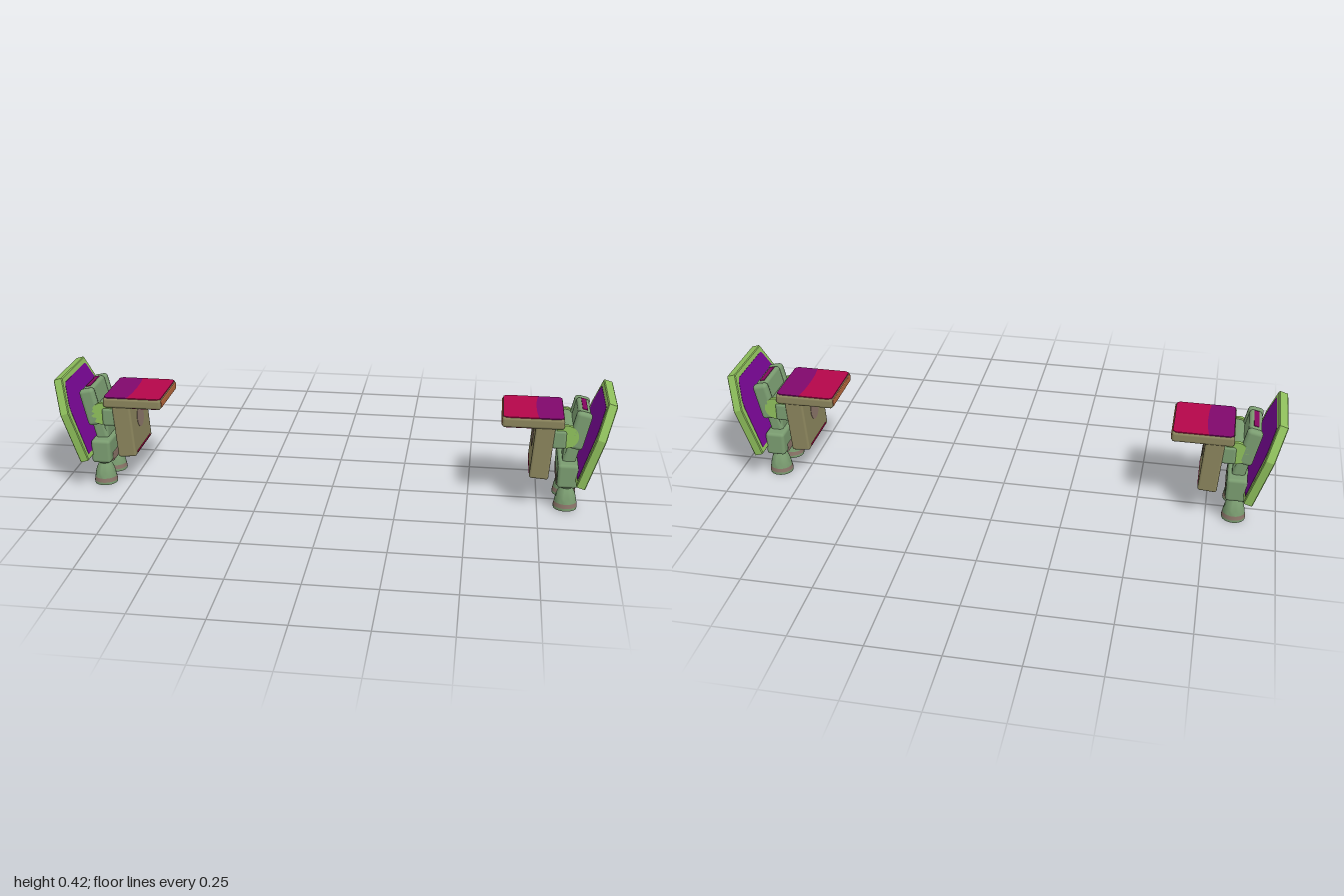
import * as THREE from 'three';
import { RoundedBoxGeometry } from 'three/addons/geometries/RoundedBoxGeometry.js';
import { toCreasedNormals } from 'three/addons/utils/BufferGeometryUtils.js';

function material(name, color, side = THREE.FrontSide) {
  const m = new THREE.MeshStandardMaterial({ color, side });
  m.name = name;
  return m;
}

export function createModel() {
  const green = material('leaf green', 0x8fc05c);
  const sage = material('sage', 0x7a9c70);
  const olive = material('olive tan', 0x8a845c);
  const mauve = material('mauve', 0x8a7468);
  const plum = material('plum', 0x84065f);
  const violet = material('violet', 0x780694, THREE.DoubleSide);
  const crimson = material('crimson', 0xb4064a);
  const grape = material('grape', 0x80086c);
  const orange = material('burnt orange', 0xb8683c);

  function add(parent, name, geometry, mat, x = 0, y = 0, z = 0) {
    const mesh = new THREE.Mesh(geometry, mat);
    mesh.name = name;
    mesh.position.set(x, y, z);
    parent.add(mesh);
    return mesh;
  }
  const box = (w, h, d, r = 0.01) => new RoundedBoxGeometry(w, h, d, 2, r);
  const lathe = (points) => toCreasedNormals(
    new THREE.LatheGeometry(points.map(([r, y]) => new THREE.Vector2(r, y)), 24), 0.6);
  const prism = (points, depth, bevel = 0) => new THREE.ExtrudeGeometry(
    new THREE.Shape(points.map(([x, y]) => new THREE.Vector2(x, y))),
    { depth: depth - 2 * bevel, bevelEnabled: bevel > 0, bevelSize: bevel,
      bevelThickness: bevel, bevelOffset: -bevel, bevelSegments: 1 }).translate(0, 0, bevel);
  // Mirrors a half outline, listed from bottom to top
  const mirrored = (half) => [...half, ...half.map(([x, y]) => [-x, y]).reverse()];

  function buildUnit(name) {
    const unit = new THREE.Group();
    unit.name = name;

    // Pair of bell nozzles with dark throats
    for (const z of [-0.0625, 0.0625]) {
      add(unit, 'nozzle', lathe([[0.037, 0], [0.042, 0], [0.043, 0.006], [0.041, 0.016],
        [0.039, 0.03], [0.036, 0.045], [0.031, 0.062], [0.025, 0.074], [0.022, 0.08],
        [0.025, 0.084], [0.025, 0.1]]), sage, 0.85, 0, z);
      add(unit, 'nozzleBand', lathe([[0.0428, 0.01], [0.0415, 0.016], [0.0402, 0.025]]), mauve,
        0.85, 0, z);
      add(unit, 'nozzleThroat', lathe([[0.039, -0.0005], [0.033, 0.03], [0.018, 0.055], [0, 0.06]]),
        violet, 0.85, 0, z);
    }

    // Base housing above the nozzles
    add(unit, 'baseHousing', box(0.072, 0.09, 0.216, 0.012), sage, 0.85, 0.135, 0);
    add(unit, 'baseInset', box(0.076, 0.034, 0.15, 0.004), mauve, 0.85, 0.105, 0);
    add(unit, 'baseTrim', new THREE.BoxGeometry(0.005, 0.007, 0.15), plum, 0.887, 0.089, 0);

    // Leaning spine with side rails
    const spine = new THREE.Group();
    spine.name = 'spine';
    spine.position.set(0.873, 0.27, 0);
    spine.rotation.z = -0.22;
    unit.add(spine);
    add(spine, 'spineCore', box(0.046, 0.21, 0.14, 0.012), sage);
    add(spine, 'spineTopStripe', new THREE.BoxGeometry(0.018, 0.006, 0.11), plum, 0, 0.104, 0);
    for (const z of [-0.08, 0.08]) {
      add(spine, 'spineRail', box(0.056, 0.14, 0.034, 0.014), sage, 0, 0.035, z);
    }

    // Round hinge and the arm that carries the shelf
    const hinge = add(unit, 'hinge', new THREE.CylinderGeometry(0.036, 0.036, 0.19, 24), sage,
      0.837, 0.283, 0);
    hinge.rotation.x = Math.PI / 2;
    for (const z of [-0.09, 0.09]) {
      const disc = add(unit, 'hingeDisc', new THREE.CylinderGeometry(0.042, 0.042, 0.014, 28),
        green, 0.837, 0.283, z);
      disc.rotation.x = Math.PI / 2;
    }
    add(unit, 'shelfArm', box(0.062, 0.068, 0.206), sage, 0.806, 0.272, 0);
    add(unit, 'lowerLink', box(0.04, 0.07, 0.13), sage, 0.85, 0.21, 0);

    // Hanging block with a round pad on its inner face
    const block = new THREE.Group();
    block.name = 'hangingBlock';
    block.position.set(0.756, 0.228, 0);
    block.rotation.z = -0.07;
    unit.add(block);
    add(block, 'blockBody', box(0.068, 0.212, 0.218, 0.008), olive);
    const pad = add(block, 'blockPad', new THREE.CylinderGeometry(0.04, 0.04, 0.003, 28),
      mauve, -0.034, 0.015, 0);
    pad.rotation.z = Math.PI / 2;
    add(block, 'blockFootTrim', new THREE.BoxGeometry(0.003, 0.006, 0.17), crimson,
      -0.034, -0.094, 0);

    // Shelf with a two-colour top and a lined underside
    add(unit, 'shelf', box(0.216, 0.038, 0.23, 0.01), olive, 0.719, 0.333, 0);
    add(unit, 'shelfLip', box(0.007, 0.026, 0.212, 0.003), orange, 0.6125, 0.333, 0);
    const seam = [[0.738, -0.11], [0.732, -0.06], [0.73, 0], [0.732, 0.06], [0.738, 0.11]];
    const redOutline = [[0.625, -0.11], ...seam, [0.625, 0.11], [0.614, 0.1], [0.614, -0.1]];
    const grapeOutline = [[0.813, -0.11], [0.824, -0.1], [0.824, 0.1], [0.813, 0.11],
      ...[...seam].reverse()];
    for (const [part, outline, mat] of [['shelfTopInner', redOutline, crimson],
      ['shelfTopOuter', grapeOutline, grape]]) {
      add(unit, part, prism(outline, 0.004), mat, 0, 0.35, 0).rotation.x = -Math.PI / 2;
    }
    add(unit, 'shelfUnderside', new THREE.BoxGeometry(0.1, 0.004, 0.206), crimson,
      0.67, 0.3135, 0);

    // Leaning six-sided panel, inlaid on both faces
    const panel = new THREE.Group();
    panel.name = 'panel';
    panel.position.set(0.909, 0.115, 0);
    panel.rotation.z = -0.2945;
    unit.add(panel);
    const frame = mirrored([[0.165, 0], [0.18, 0.195], [0.125, 0.314]]);
    const inlay = mirrored([[0.148, 0.019], [0.155, 0.19], [0.151, 0.218], [0.118, 0.284],
      [0.108, 0.293]]);
    add(panel, 'panelFrame', prism(frame, 0.034, 0.003), green, -0.034).rotation.y = Math.PI / 2;
    add(panel, 'panelOuterInlay', prism(inlay, 0.005), plum, -0.004).rotation.y = Math.PI / 2;
    add(panel, 'panelInnerInlay', prism(inlay, 0.005), violet, -0.035).rotation.y = Math.PI / 2;
    add(panel, 'panelTopSlot', new THREE.BoxGeometry(0.003, 0.005, 0.14), plum, 0, 0.302, 0);

    return unit;
  }

  // Two facing units, one on each side
  const model = new THREE.Group();
  model.name = 'pairedUnits';
  const left = buildUnit('leftUnit');
  const right = buildUnit('rightUnit');
  right.rotation.y = Math.PI;
  model.add(left, right);
  return model;
}
